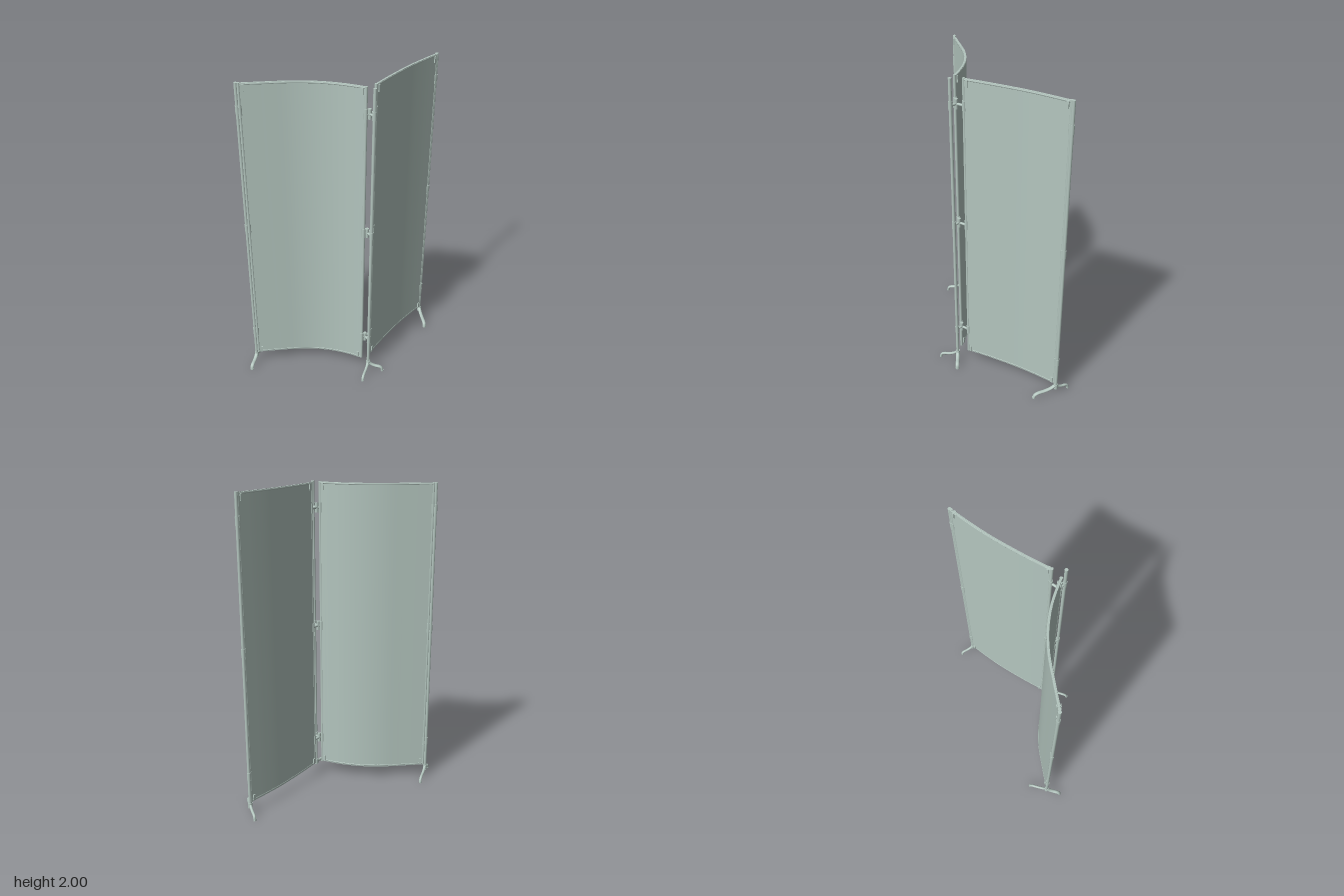
import * as THREE from 'three';
import { toCreasedNormals } from 'three/addons/utils/BufferGeometryUtils.js';

const BOTTOM = 0.08, TOP = 2.0;

export function createModel() {
  const root = new THREE.Group();
  const mat = new THREE.MeshStandardMaterial({ color: 0xb4c6bf });
  mat.name = 'pale sage';

  const add = (parent, name, geo, x = 0, y = 0, z = 0) => {
    const m = new THREE.Mesh(geo, mat);
    m.name = name;
    m.position.set(x, y, z);
    parent.add(m);
    return m;
  };
  const post = (parent, name, x, z, r, y0, y1) =>
    add(parent, name, new THREE.CylinderGeometry(r, r, y1 - y0, 12), x, (y0 + y1) / 2, z);
  const bar = (parent, name, a, b, r) => {
    const path = new THREE.LineCurve3(a, b);
    const m = add(parent, name, new THREE.CylinderGeometry(r, r, path.getLength(), 10));
    m.position.copy(a).lerp(b, 0.5);
    m.quaternion.setFromUnitVectors(new THREE.Vector3(0, 1, 0), b.clone().sub(a).normalize());
    return m;
  };

  // Fabric panel: a curved plan line given thickness and extruded upward
  function panel(name, plan) {
    const g = new THREE.Group();
    g.name = name;
    root.add(g);
    const curve = new THREE.CatmullRomCurve3(plan.map(([x, z]) => new THREE.Vector3(x, 0, z)));
    const normalAt = (t) => {
      const d = curve.getTangentAt(t);
      return new THREE.Vector3(-d.z, 0, d.x);
    };
    const N = 28;
    const sheet = (half, y0, y1) => {
      const front = [], back = [];
      for (let i = 0; i <= N; i++) {
        const p = curve.getPointAt(i / N), n = normalAt(i / N);
        front.push(new THREE.Vector2(p.x + n.x * half, -(p.z + n.z * half)));
        back.unshift(new THREE.Vector2(p.x - n.x * half, -(p.z - n.z * half)));
      }
      const geo = new THREE.ExtrudeGeometry(new THREE.Shape([...front, ...back]),
        { depth: y1 - y0, bevelEnabled: false });
      geo.rotateX(-Math.PI / 2).translate(0, y0, 0);
      return toCreasedNormals(geo, 0.6);
    };
    add(g, 'fabric', sheet(0.006, BOTTOM, TOP - 0.002));

    // Rounded hems along the top and bottom edges
    for (const y of [BOTTOM + 0.009, TOP - 0.009])
      add(g, 'hem', new THREE.TubeGeometry(new THREE.CatmullRomCurve3(
        curve.getSpacedPoints(20).map((p) => new THREE.Vector3(p.x, y, p.z))), 40, 0.008, 8));

    // Side rods and corner clips
    for (const t of [0, 1]) {
      const p = curve.getPointAt(t);
      post(g, 'sideRod', p.x, p.z, 0.009, BOTTOM, TOP);
      const tc = t ? 0.97 : 0.03;
      const c = curve.getPointAt(tc), d = curve.getTangentAt(tc);
      for (const y of [0.105, 1.97]) {
        const clip = add(g, 'cornerClip', new THREE.BoxGeometry(0.014, 0.04, 0.026), c.x, y, c.z);
        clip.rotation.y = Math.atan2(-d.z, d.x);
      }
    }
  }

  panel('leftWingPanel', [[-0.575, 0.08], [-0.43, 0.08], [-0.28, 0.083], [-0.16, 0.102],
    [-0.05, 0.137], [0.03, 0.175], [0.11, 0.222]]);
  panel('rightWingPanel', [[0.17, 0.185], [0.24, 0.1], [0.32, 0.008], [0.42, -0.1],
    [0.52, -0.195], [0.61, -0.275]]);

  // Curved leg with a flattened oval section, from the post to the floor
  function leg(parent, [x, z], [ex, ez], width) {
    const dir = new THREE.Vector3(ex - x, 0, ez - z);
    const len = dir.length();
    dir.normalize();
    const path = new THREE.CatmullRomCurve3([[0, 0.07], [0.2, 0.05], [0.48, 0.038],
      [0.82, 0.032], [0.95, 0.022], [1, 0.004]].map(([s, y]) => new THREE.Vector3(s * len, y, 0)));
    const geo = new THREE.TubeGeometry(path, 24, 0.0085, 10);
    geo.scale(1, 1, width / 0.017);
    const m = add(parent, 'leg', geo, x, 0, z);
    m.rotation.y = Math.atan2(-dir.z, dir.x);
    const foot = new THREE.CylinderGeometry(0.009, 0.009, 0.008, 10);
    foot.scale(1, 1, width / 0.017);
    const f = add(parent, 'footPad', foot, ex, 0.004, ez);
    f.rotation.y = m.rotation.y;
  }

  // Stands: post, collar and two legs each; arms reach the neighbouring panel edges
  const stands = [
    { name: 'leftStand', at: [-0.59, 0.077], feet: [[-0.533, -0.035], [-0.628, 0.168]], to: [[-0.575, 0.08]] },
    { name: 'middleStand', at: [0.152, 0.258], feet: [[0.1, 0.365], [0.245, 0.282]], to: [[0.11, 0.222], [0.17, 0.185]] },
    { name: 'rightStand', at: [0.617, -0.282], feet: [[0.592, -0.372], [0.628, -0.132]], to: [[0.61, -0.275]] },
  ];
  for (const s of stands) {
    const g = new THREE.Group();
    g.name = s.name;
    root.add(g);
    const [x, z] = s.at;
    post(g, 'post', x, z, 0.01, 0.05, TOP);
    post(g, 'collar', x, z, 0.014, 0.04, 0.075);
    leg(g, s.at, s.feet[0], 0.018);
    leg(g, s.at, s.feet[1], 0.024);
    for (const y of [0.26, 1.07, 1.84]) {
      post(g, 'hingeSleeve', x, z, 0.0125, y - 0.025, y + 0.025);
      for (const [px, pz] of s.to) {
        post(g, 'hingeSleeve', px, pz, 0.012, y - 0.03, y + 0.03);
        // Both arms meet at a pivot between the panels
        const hub = s.to.length > 1 ? [0.132, 0.222] : s.at;
        bar(g, 'hingeArm', new THREE.Vector3(hub[0], y, hub[1]), new THREE.Vector3(px, y, pz), 0.008);
      }
      if (s.to.length > 1) {
        post(g, 'hingePivot', 0.132, 0.222, 0.011, y - 0.03, y + 0.03);
        bar(g, 'hingeArm', new THREE.Vector3(0.132, y, 0.222), new THREE.Vector3(x, y, z), 0.008);
      }
    }
  }
  return root;
}
